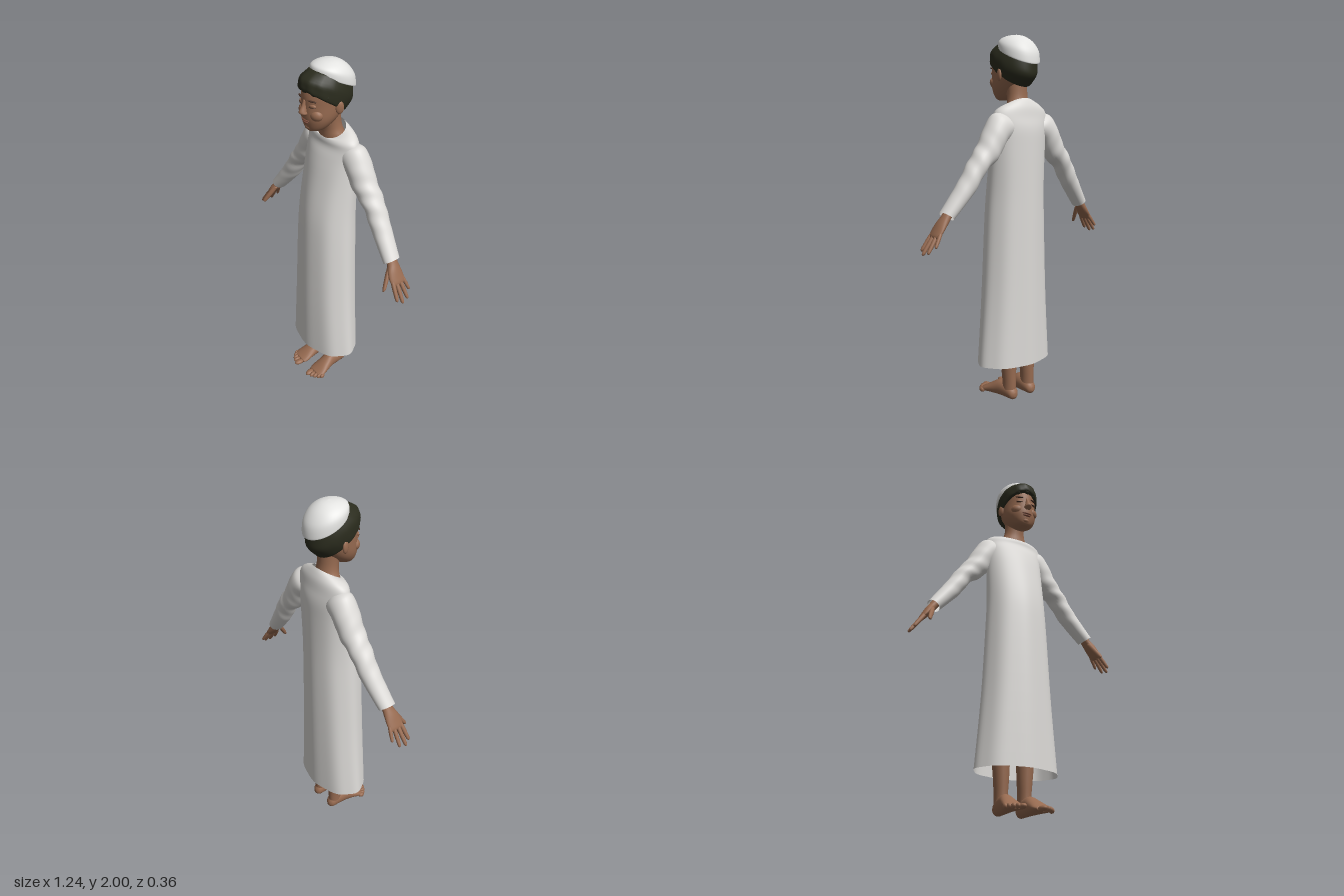
import * as THREE from 'three';

const material = (name, color, side = THREE.FrontSide) => {
  const m = new THREE.MeshStandardMaterial({ color, side });
  m.name = name;
  return m;
};

// Interpolates rows of numbers with a Catmull-Rom rule
function smooth(rows, per) {
  const out = [];
  const at = i => rows[Math.min(Math.max(i, 0), rows.length - 1)];
  for (let i = 0; i < rows.length - 1; i++) {
    for (let k = 0; k < per; k++) {
      const t = k / per;
      out.push([0, 1, 2, 3, 4, 5].map(c => {
        const [a, b, d, e] = [i - 1, i, i + 1, i + 2].map(j => at(j)[c] || 0);
        return b + 0.5 * t * (d - a + t * (2 * a - 5 * b + 4 * d - e + t * (3 * (b - d) + e - a)));
      }));
    }
  }
  out.push([0, 1, 2, 3, 4, 5].map(c => at(rows.length)[c] || 0));
  return out;
}

// Oval cross-sections stacked along y. Row: [y, x, z, halfWidth, halfDepth, tilt towards +z]
function column(rows, { sides = 24, per = 4, bottom = true, top = true, bump = () => 0 } = {}) {
  const rings = smooth(rows, per), pos = [], idx = [];
  rings.forEach(([y, x, z, a, b, tilt], i) => {
    for (let j = 0; j < sides; j++) {
      const th = j / sides * Math.PI * 2, r = 1 + bump(i / (rings.length - 1), th);
      pos.push(x + Math.sin(th) * a * r, y + tilt * Math.cos(th), z + Math.cos(th) * b * r);
    }
  });
  for (let i = 0; i < rings.length - 1; i++) {
    for (let j = 0; j < sides; j++) {
      const a = i * sides + j, b = i * sides + (j + 1) % sides;
      idx.push(a, b, a + sides, b, b + sides, a + sides);
    }
  }
  const cap = (i, flip) => {
    const c = pos.length / 3, s = i * sides;
    pos.push(rings[i][1], rings[i][0], rings[i][2]);
    for (let j = 0; j < sides; j++) {
      const a = s + j, b = s + (j + 1) % sides;
      idx.push(c, flip ? b : a, flip ? a : b);
    }
  };
  if (bottom) cap(0, true);
  if (top) cap(rings.length - 1, false);
  const g = new THREE.BufferGeometry();
  g.setAttribute('position', new THREE.Float32BufferAttribute(pos, 3));
  g.setIndex(idx);
  g.computeVertexNormals();
  return g;
}

const ellipsoid = (x, y, z, rx, ry, rz, turn = 0) =>
  new THREE.SphereGeometry(1, 16, 12).scale(rx, ry, rz).rotateY(turn).translate(x, y, z);

function mirrored(geo) {
  const g = geo.clone().scale(-1, 1, 1), ix = g.index;
  for (let i = 0; i < ix.count; i += 3) {
    const b = ix.getX(i + 1);
    ix.setX(i + 1, ix.getX(i + 2));
    ix.setX(i + 2, b);
  }
  return g;
}

export function createModel() {
  const model = new THREE.Group();
  const robeCloth = material('robe cloth', 0xdcdad7, THREE.DoubleSide);
  const capCloth = material('cap cloth', 0xe4e4e2);
  const skin = material('skin', 0x966a50);
  const hair = material('dark hair', 0x2b2c1e);
  const lip = material('lips', 0x80503f);
  const lash = material('lashes', 0x4a3328);

  const add = (name, geo, mat) => {
    const m = new THREE.Mesh(geo, mat);
    m.name = name;
    model.add(m);
  };
  const pair = (name, geo, mat) => {
    add('left ' + name, geo, mat);
    add('right ' + name, mirrored(geo), mat);
  };

  // Long robe, open at hem and collar, with soft folds fading upward
  add('robe', column([
    [0.21, 0, -0.02, 0.232, 0.15], [0.6, 0, -0.022, 0.2, 0.148], [1, 0, -0.027, 0.18, 0.143],
    [1.2, 0, -0.035, 0.172, 0.135], [1.4, 0, -0.055, 0.172, 0.115], [1.5, 0, -0.068, 0.175, 0.1],
    [1.56, 0, -0.073, 0.18, 0.083, -0.005], [1.6, 0, -0.07, 0.165, 0.077, -0.015],
    [1.624, 0, -0.065, 0.125, 0.068, -0.024], [1.632, 0, -0.06, 0.085, 0.06, -0.035],
  ], { sides: 64, bottom: false, top: false, bump: (t, th) => 0.016 * Math.max(0, 1 - 1.6 * t) * Math.cos(8 * th) }), robeCloth);

  // Arm frame: origin at the wrist, +y along the arm, +x towards the palm
  const armFrame = new THREE.Matrix4().makeBasis(
    new THREE.Vector3(-0.812, -0.583, 0), new THREE.Vector3(0.583, -0.812, 0), new THREE.Vector3(0, 0, 1),
  ).setPosition(0.487, 1.07, -0.06);
  const armPart = (name, geo, mat) => pair(name, geo.applyMatrix4(armFrame), mat);

  // Sleeve with creases around the elbow
  armPart('sleeve', column([
    [-0.62, 0.021, -0.02, 0.05, 0.04], [-0.581, 0.021, -0.023, 0.083, 0.068], [-0.504, 0.009, -0.025, 0.07, 0.072],
    [-0.406, 0.017, -0.025, 0.066, 0.067], [-0.303, 0.003, -0.025, 0.052, 0.06], [-0.19, 0.008, -0.02, 0.05, 0.055],
    [-0.09, 0.005, -0.01, 0.044, 0.051], [0, 0, 0, 0.038, 0.047],
  ], {
    sides: 32, per: 7, top: false,
    bump: (t, th) => 0.045 * Math.exp(-Math.pow((t - 0.55) / 0.18, 2)) * Math.sin(48 * t + 2 * th),
  }), robeCloth);

  // Hands
  armPart('palm', column([
    [-0.05, 0, 0, 0.024, 0.03], [0.01, 0, 0, 0.023, 0.031], [0.05, 0, 0.006, 0.022, 0.041],
    [0.09, 0, 0.008, 0.017, 0.046], [0.12, 0, 0.008, 0.012, 0.042], [0.13, 0, 0.008, 0.004, 0.03],
  ]), skin);
  const finger = (x0, d0, z0, x1, d1, z1, r) => {
    const row = (t, k) => [d0 + (d1 - d0) * t, x0 + (x1 - x0) * t, z0 + (z1 - z0) * t, r * k, r * k];
    return column([row(0, 0.9), row(0.3, 1.05), row(0.7, 0.95), row(0.93, 0.75), row(1, 0.15)], { sides: 12 });
  };
  [
    ['little finger', 0, 0.09, -0.026, 0.004, 0.178, -0.043, 0.0095],
    ['ring finger', 0, 0.1, -0.005, 0.002, 0.218, -0.012, 0.0105],
    ['middle finger', 0, 0.1, 0.018, 0.002, 0.229, 0.026, 0.011],
    ['index finger', 0, 0.095, 0.039, 0.003, 0.208, 0.055, 0.011],
    ['thumb', 0.006, 0.025, 0.022, 0.034, 0.134, 0.09, 0.0135],
  ].forEach(([name, ...f]) => armPart(name, finger(...f), skin));

  // Legs and bare feet
  pair('leg', column([
    [0.03, 0.068, -0.06, 0.034, 0.042], [0.1, 0.068, -0.06, 0.034, 0.043], [0.2, 0.069, -0.057, 0.041, 0.047],
    [0.4, 0.075, -0.055, 0.054, 0.058], [0.6, 0.078, -0.045, 0.06, 0.062],
  ]), skin);
  // Foot rows run from heel to toes before being laid along z
  pair('foot', column([
    [-0.113, 0.067, -0.03, 0.01, 0.012], [-0.098, 0.067, -0.034, 0.029, 0.032], [-0.06, 0.067, -0.045, 0.037, 0.044],
    [0, 0.07, -0.049, 0.04, 0.048], [0.05, 0.075, -0.037, 0.047, 0.036], [0.1, 0.079, -0.022, 0.054, 0.021],
    [0.128, 0.078, -0.016, 0.045, 0.012],
  ]).rotateX(Math.PI / 2), skin);
  [[0.055, 0.147, 0.018, 0.031], [0.081, 0.144, 0.0115, 0.024], [0.1, 0.134, 0.011, 0.022],
    [0.117, 0.121, 0.0105, 0.02], [0.13, 0.106, 0.01, 0.018]].forEach(([x, z, r, len], i) =>
    pair('toe ' + (i + 1), ellipsoid(x, 0.015, z, r, 0.014, len, 0.15), skin));

  // Neck and head
  add('neck', column([
    [1.575, 0, -0.06, 0.086, 0.06], [1.61, 0, -0.06, 0.08, 0.058], [1.645, 0, -0.055, 0.064, 0.053],
    [1.69, 0, -0.048, 0.058, 0.053], [1.76, 0, -0.04, 0.06, 0.06],
  ]), skin);
  add('head', column([
    [1.658, 0, 0.06, 0.022, 0.026], [1.67, 0, 0.047, 0.052, 0.05], [1.7, 0, 0.03, 0.077, 0.077],
    [1.74, 0, 0.01, 0.093, 0.104], [1.8, 0, -0.02, 0.1, 0.133], [1.86, 0, -0.025, 0.1, 0.135],
    [1.92, 0, -0.03, 0.088, 0.115], [1.97, 0, -0.04, 0.045, 0.06],
  ], { sides: 36 }), skin);
  add('nose', column([
    [1.75, 0, 0.113, 0.01, 0.006], [1.761, 0, 0.117, 0.022, 0.022], [1.774, 0, 0.119, 0.018, 0.025],
    [1.8, 0, 0.113, 0.011, 0.016], [1.83, 0, 0.108, 0.008, 0.008],
  ]), skin);
  add('upper lip', ellipsoid(0, 1.724, 0.106, 0.031, 0.006, 0.012), lip);
  add('lower lip', ellipsoid(0, 1.712, 0.103, 0.026, 0.008, 0.013), lip);
  add('chin', ellipsoid(0, 1.684, 0.084, 0.026, 0.018, 0.022), skin);
  pair('cheek', ellipsoid(0.05, 1.755, 0.078, 0.035, 0.03, 0.026, 0.5), skin);
  pair('eyelid', ellipsoid(0.043, 1.805, 0.096, 0.021, 0.011, 0.01, 0.3), skin);
  pair('eyelashes', ellipsoid(0.043, 1.8, 0.1, 0.02, 0.0035, 0.008, 0.3), lash);
  pair('eyebrow', ellipsoid(0.046, 1.832, 0.101, 0.025, 0.004, 0.006, 0.35), lash);
  pair('ear', ellipsoid(0.104, 1.788, -0.022, 0.011, 0.034, 0.022, -0.35), skin);

  // Hair, low at the nape and high over the forehead
  add('hair', column([
    [1.8, 0, 0.003, 0.1, 0.113, 0.075], [1.81, 0, 0.0, 0.107, 0.124, 0.073], [1.84, 0, -0.018, 0.112, 0.143, 0.062],
    [1.88, 0, -0.026, 0.11, 0.139, 0.055], [1.93, 0, -0.05, 0.09, 0.108, 0.035],
  ], { sides: 48, bump: (t, th) => 0.012 * Math.sin(13 * th + 5 * t) * (0.5 + 0.5 * Math.cos(th)) }), hair);
  // Short curls along the fringe
  for (let i = -4; i <= 4; i++) {
    const th = i * 0.27, lift = i % 2 ? 0.008 : 0;
    add('fringe curl', ellipsoid(Math.sin(th) * 0.098, 1.822 + 0.062 * Math.cos(th) + lift, -0.015 + Math.cos(th) * 0.124,
      0.02, 0.019, 0.014, th), hair);
  }

  // Rounded cap, tipped towards the back
  add('cap', column([
    [1.893, 0, -0.062, 0.103, 0.115, 0.054], [1.9, 0, -0.062, 0.106, 0.119, 0.053], [1.94, 0, -0.06, 0.102, 0.112, 0.036],
    [1.972, 0, -0.052, 0.08, 0.086, 0.016], [1.993, 0, -0.045, 0.043, 0.047, 0.004], [2, 0, -0.043, 0.004, 0.004],
  ], { sides: 40 }), capCloth);

  return model;
}
